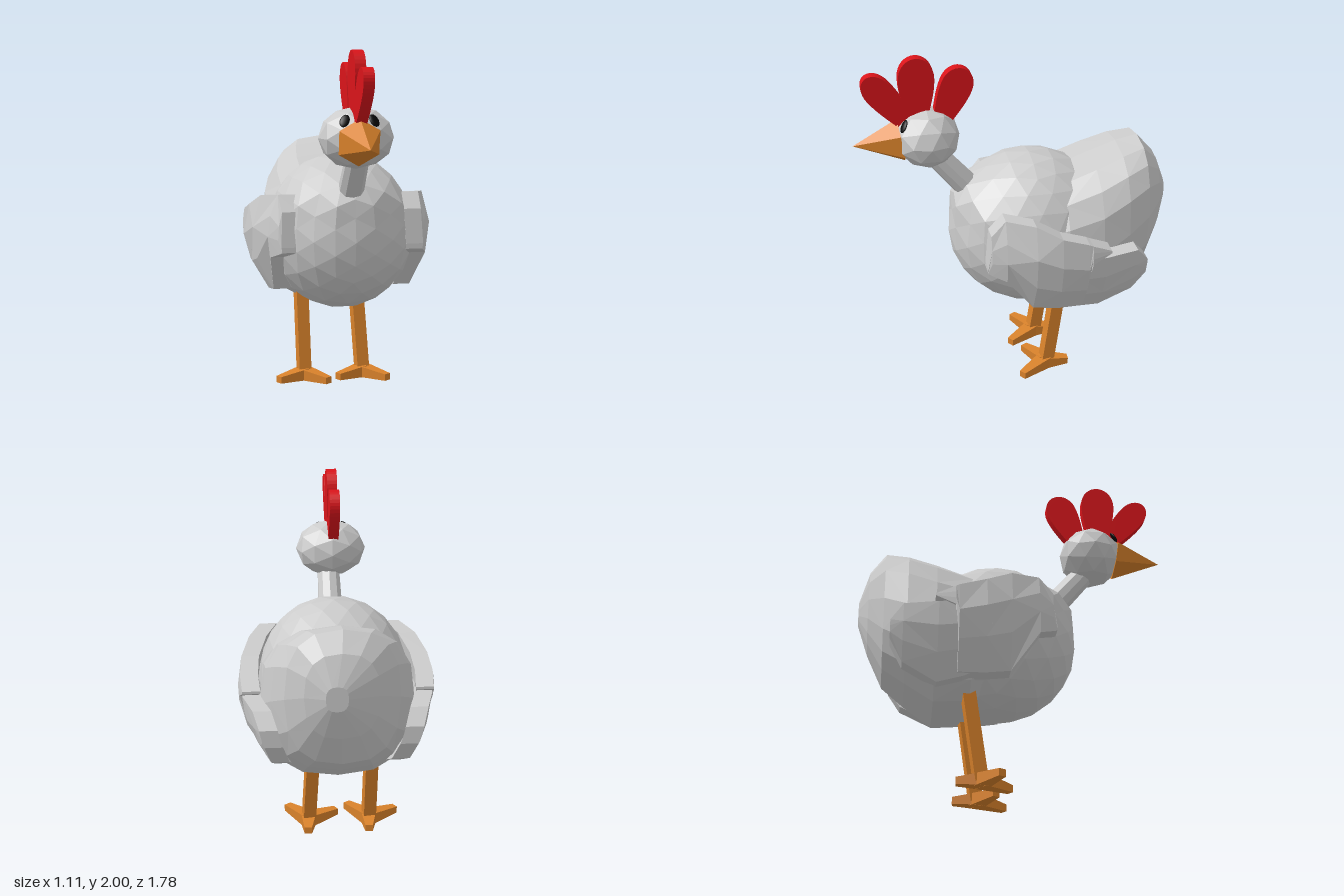
import * as THREE from 'three';

const GREY = 0xcccccc, ORANGE = 0xd9822b, RED = 0xd9141a, BLACK = 0x060606;
const V = (x, y, z) => new THREE.Vector3(x, y, z);

function part(name, geometry, color = GREY, flatShading = true) {
  const mesh = new THREE.Mesh(geometry, new THREE.MeshStandardMaterial({ color, flatShading }));
  mesh.name = name;
  return mesh;
}

// Closed solid through cross-sections of equal point count, always wound outward
function loft(rings) {
  const n = rings[0].length, tris = [];
  const centre = (r) => r.reduce((a, p) => a.add(p), V(0, 0, 0)).divideScalar(n);
  for (let i = 0; i < rings.length - 1; i++) {
    for (let j = 0; j < n; j++) {
      const k = (j + 1) % n, a = rings[i], b = rings[i + 1];
      if ((i + j) % 2) tris.push([a[j], a[k], b[k]], [a[j], b[k], b[j]]);
      else tris.push([a[j], a[k], b[j]], [a[k], b[k], b[j]]);
    }
  }
  const first = rings[0], last = rings[rings.length - 1];
  const c0 = centre(first), c1 = centre(last);
  for (let j = 0; j < n; j++) {
    const k = (j + 1) % n;
    tris.push([c0, first[k], first[j]], [c1, last[j], last[k]]);
  }
  const volume = tris.reduce((s, [a, b, c]) => s + a.dot(b.clone().cross(c)), 0);
  const points = tris.flatMap(([a, b, c]) => (volume > 0 ? [a, b, c] : [a, c, b]));
  const geometry = new THREE.BufferGeometry().setFromPoints(points);
  geometry.computeVertexNormals();
  return geometry;
}

// Faceted ball stretched to an ellipsoid
function ball(rx, ry, rz, detail, x, y, z) {
  return new THREE.IcosahedronGeometry(1, detail).scale(rx, ry, rz).translate(x, y, z);
}

// Round breast with a small shelf under the neck
function breastGeometry() {
  const geometry = ball(0.435, 0.46, 0.475, 3, 0, 0.93, -0.1);
  const p = geometry.attributes.position;
  for (let i = 0; i < p.count; i++) {
    if (p.getZ(i) > 0.15 && p.getY(i) > 1.08) p.setZ(i, p.getZ(i) + 0.035);
  }
  return geometry;
}

// Raised rear: rounded sections given as z, centre x, bottom, top, half width
function tailGeometry() {
  const sections = [
    [-0.02, 0, 0.62, 1.1, 0.34], [-0.25, 0, 0.475, 1.285, 0.43], [-0.45, 0, 0.46, 1.36, 0.425],
    [-0.61, 0, 0.57, 1.415, 0.38], [-0.74, 0, 0.67, 1.44, 0.31],
    [-0.83, 0.01, 0.86, 1.34, 0.2], [-0.89, 0.04, 1.04, 1.18, 0.06],
  ];
  const round = (v) => Math.sign(v) * Math.abs(v) ** 0.78;
  return loft(sections.map(([z, cx, lo, hi, rx]) => Array.from({ length: 16 }, (_, j) => {
    const a = (j / 16) * Math.PI * 2;
    return V(cx + rx * round(Math.cos(a)), (lo + hi) / 2 + ((hi - lo) / 2) * round(Math.sin(a)), z);
  })));
}

// Thick slab curved around the flank: stations are z, bottom, top
function slab(side, stations, inset) {
  const front = side < 0 ? 0.8 : 0.65;
  const outer = (y, z) =>
    0.555 - inset - (z > -0.22 ? front : 0.4) * (z + 0.22) ** 2 - 1.05 * (y - 0.94) ** 2;
  const rows = [0, 1 / 3, 2 / 3, 1];
  return loft(stations.map(([z, lo, hi]) => {
    const ys = rows.map((t) => lo + (hi - lo) * t);
    const skin = ys.map((y) => V(side * outer(y, z), y, z));
    const inside = ys.map((y) => V(side * (outer(y, z) - 0.1), y, z)).reverse();
    return [...skin, ...inside];
  }));
}

// Upper wing with a pointed feather, and longer feathers below it
function wing(side) {
  const group = new THREE.Group();
  group.name = side < 0 ? 'rightWing' : 'leftWing';
  group.add(part('upperWing', slab(side, [
    [0.22, 0.86, 0.89], [0.2, 0.85, 1.09], [0.12, 0.82, 1.18], [-0.04, 0.6, 1.16],
    [-0.18, 0.58, 1.09], [-0.33, 0.58, 1.045], [-0.35, 0.92, 1.035], [-0.46, 0.975, 0.99],
  ], 0)));
  group.add(part('lowerFeathers', slab(side, [
    [-0.15, 0.62, 0.92], [-0.3, 0.565, 0.945], [-0.44, 0.54, 0.945],
    [-0.63, 0.64, 0.945], [-0.7, 0.76, 0.86],
  ], 0.012)));
  return group;
}

// Rounded comb lobe in the (z, y) plane, leaning by angle
function lobe(z, y, length, width, angle) {
  const s = new THREE.Shape();
  const w = width, h = length;
  s.moveTo(-0.04, 0);
  s.bezierCurveTo(-0.06, h * 0.3, -w, h * 0.48, -w, h * 0.72);
  s.bezierCurveTo(-w, h * 0.9, -w * 0.5, h, 0, h);
  s.bezierCurveTo(w * 0.5, h, w, h * 0.9, w, h * 0.72);
  s.bezierCurveTo(w, h * 0.48, 0.06, h * 0.3, 0.04, 0);
  s.closePath();
  return new THREE.ExtrudeGeometry(s, { depth: 0.06, bevelEnabled: false, curveSegments: 8 })
    .translate(0, 0, -0.03).rotateZ(angle).rotateY(-Math.PI / 2).translate(-0.032, y, z);
}

// Square shank and three tapering toes, two forward and one back
function leg(name, hip, ankle) {
  const group = new THREE.Group();
  group.name = name;
  const corners = [[-1, -0.8], [0.8, -1], [1, 0.8], [-0.8, 1]];
  const shank = loft([hip, ankle].map((p) => corners.map(([x, z]) => V(p.x + x * 0.041, p.y, p.z + z * 0.041))));
  group.add(part('shank', shank, ORANGE));
  for (const [dx, dz] of [[-0.17, 0.1], [0.12, 0.17], [0.01, -0.135]]) {
    const length = Math.hypot(dx, dz), px = -dz / length, pz = dx / length;
    const toe = [[0, 0.045, 0.005, 0.075], [1, 0.022, 0.015, 0.055]].map(([t, w, lo, hi]) =>
      [[-1, lo], [1, lo], [1, hi], [-1, hi]].map(([s, y]) =>
        V(ankle.x + dx * t + px * w * s, y, ankle.z + dz * t + pz * w * s)));
    group.add(part('toe', loft(toe), ORANGE));
  }
  return group;
}

export function createModel() {
  const model = new THREE.Group();
  model.name = 'hen';

  // Body
  model.add(part('breast', breastGeometry()), part('tail', tailGeometry()), wing(-1), wing(1));

  // Neck
  const neckAxis = V(0, 0.26, 0.22);
  const neck = part('neck', new THREE.CylinderGeometry(0.066, 0.075, 0.38, 10));
  neck.quaternion.setFromUnitVectors(V(0, 1, 0), neckAxis.normalize());
  neck.position.set(-0.008, 1.31, 0.345);
  model.add(neck);

  // Head and beak
  model.add(part('head', ball(0.21, 0.17, 0.185, 1, -0.025, 1.53, 0.48)));
  const beak = new THREE.ConeGeometry(0.128, 0.27, 6).rotateX(Math.PI / 2).translate(-0.037, 1.515, 0.76);
  const p = beak.attributes.position;
  for (let i = 0; i < p.count; i++) {
    if (p.getZ(i) > 0.85) p.setY(i, 1.5);
    else p.setZ(i, p.getZ(i) + (p.getY(i) - 1.515) * 0.15);
  }
  model.add(part('beak', beak, ORANGE));

  // Eyes
  for (const side of [-1, 1]) {
    const eye = part(side < 0 ? 'rightEye' : 'leftEye',
      new THREE.SphereGeometry(1, 16, 10).scale(0.026, 0.038, 0.01), BLACK, false);
    eye.position.set(-0.035 + side * 0.08, 1.63, 0.613);
    eye.rotation.set(-0.55, side * 0.25, side * 0.3, 'YXZ');
    model.add(eye);
  }

  // Comb
  model.add(part('frontComb', lobe(0.55, 1.58, 0.415, 0.078, -0.68), RED));
  model.add(part('middleComb', lobe(0.53, 1.56, 0.44, 0.1, 0), RED));
  model.add(part('backComb', lobe(0.42, 1.57, 0.385, 0.09, 0.42), RED));

  // Legs
  model.add(leg('rightLeg', V(-0.21, 0.56, -0.26), V(-0.205, 0.03, -0.18)));
  model.add(leg('leftLeg', V(0.13, 0.56, -0.26), V(0.155, 0.03, -0.18)));
  return model;
}
